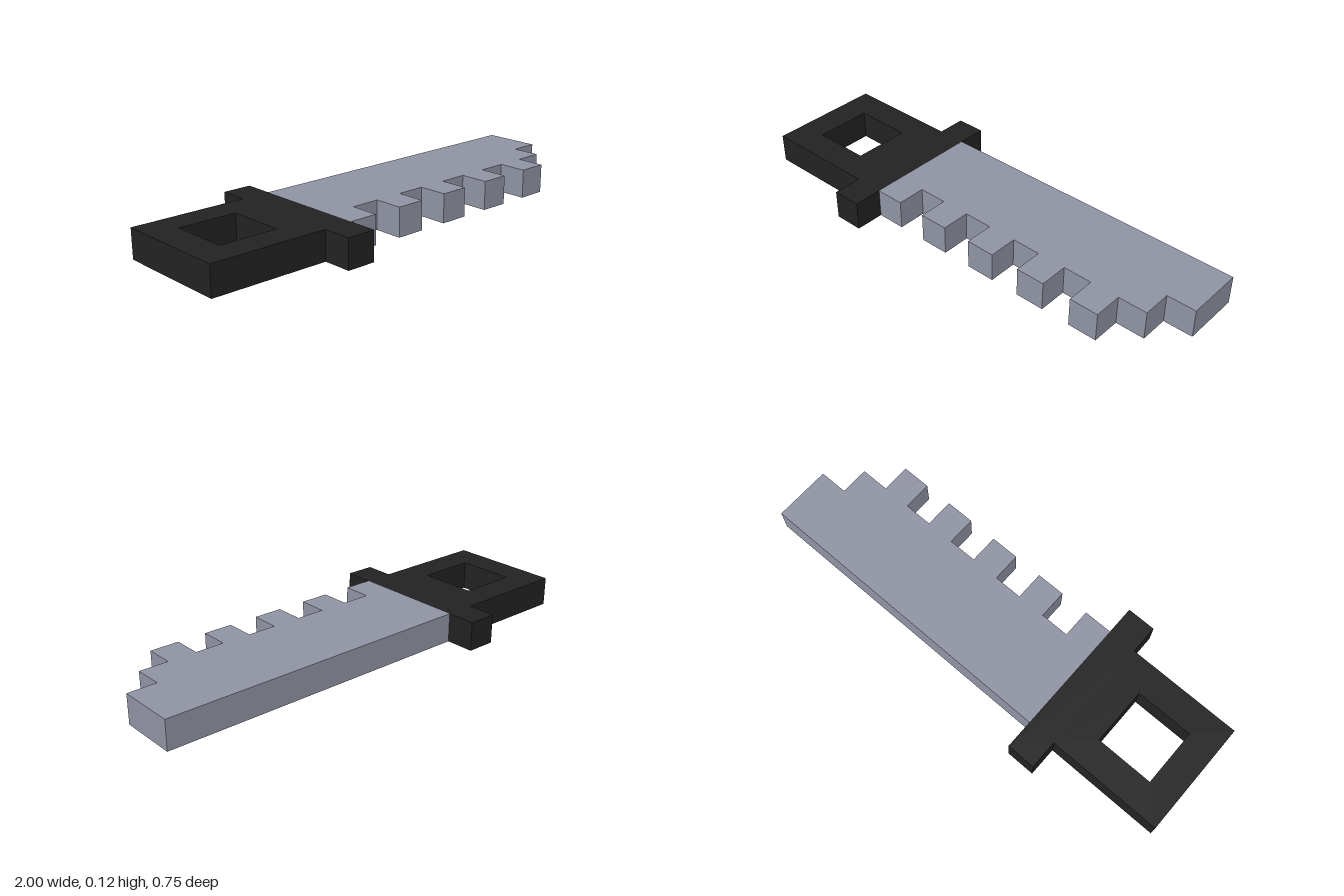
import * as THREE from 'three';

const U = 0.125; // grid unit and thickness of the saw

// Extrude a plan outline of [x, z] points, in grid units, up from y = 0
function slab(name, outline, material, hole) {
  const toVectors = (pts) => pts.map(([x, z]) => new THREE.Vector2(x * U, z * U));
  const shape = new THREE.Shape(toVectors(outline));
  if (hole) shape.holes.push(new THREE.Path(toVectors(hole)));
  const geometry = new THREE.ExtrudeGeometry(shape, { depth: U, bevelEnabled: false });
  geometry.rotateX(Math.PI / 2).translate(0, U, 0);
  const mesh = new THREE.Mesh(geometry, material);
  mesh.name = name;
  return mesh;
}

export function createModel() {
  const steel = new THREE.MeshStandardMaterial({ color: 0x9093a3 });
  steel.name = 'steel grey';
  const black = new THREE.MeshStandardMaterial({ color: 0x222222 });
  black.name = 'handle black';

  const group = new THREE.Group();
  group.name = 'handSaw';

  // Handle with a square grip hole and a wider guard at the blade end
  group.add(slab('handle', [
    [-8, -2], [-4, -2], [-4, -3], [-3, -3], [-3, 3], [-4, 3], [-4, 2], [-8, 2],
  ], black, [[-7, -1], [-7, 1], [-5, 1], [-5, -1]]));

  // Blade: straight back, five square teeth, stepped tip
  const outline = [[-3, -2]];
  for (let i = 0; i < 5; i++) {
    const x = -3 + 2 * i;
    if (i > 0) outline.push([x, 1]);
    outline.push([x, 2], [x + 1, 2], [x + 1, 1]);
  }
  outline.push([7, 1], [7, 0], [8, 0], [8, -2]);
  group.add(slab('blade', outline, steel));

  return group;
}
